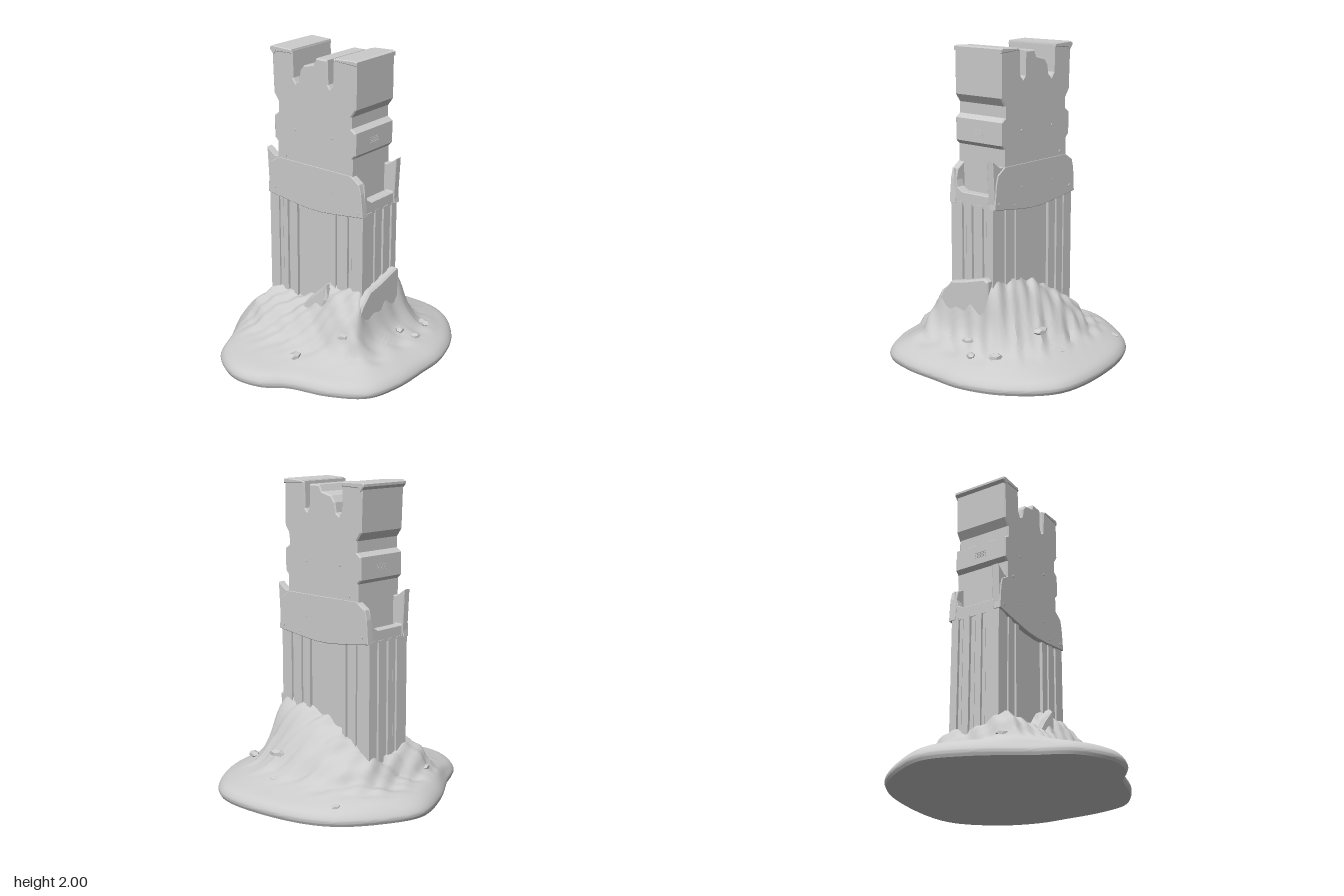
import * as THREE from 'three';
import { toCreasedNormals } from 'three/addons/utils/BufferGeometryUtils.js';

const stone = new THREE.MeshStandardMaterial({ color: 0xcccccc });
stone.name = 'pale grey stone';

const MID_Z = -0.05; // centre plane of the tower

function add(parent, name, geometry, x = 0, y = 0, z = 0) {
  const mesh = new THREE.Mesh(geometry, stone);
  mesh.name = name;
  mesh.position.set(x, y, z);
  parent.add(mesh);
  return mesh;
}

function box(parent, name, x0, x1, y0, y1, z0, z1) {
  return add(parent, name, new THREE.BoxGeometry(x1 - x0, y1 - y0, z1 - z0),
    (x0 + x1) / 2, (y0 + y1) / 2, (z0 + z1) / 2);
}

// Extruded outline that fills exactly 'depth', with softened edges
function slab(points, depth, bevel) {
  const shape = new THREE.Shape(points.map(([x, y]) => new THREE.Vector2(x, y)));
  const g = new THREE.ExtrudeGeometry(shape, {
    depth: depth - 2 * bevel, bevelEnabled: true, bevelThickness: bevel,
    bevelSize: bevel, bevelOffset: -bevel, bevelSegments: 1,
  });
  return g.translate(0, 0, bevel);
}

// Mound: each row is outer x,z | shoulder x,z,height | crest x,z,height
const SECTIONS = [
  [.74, -.05, .46, -.04, .24, .36, -.04, .53], [.73, .20, .46, .17, .23, .36, .10, .52],
  [.66, .42, .43, .26, .30, .36, .11, .55], [.45, .56, .30, .27, .36, .25, .11, .51],
  [.20, .64, .14, .27, .30, .13, .11, .52], [.05, .74, .00, .27, .29, .00, .11, .41],
  [-.15, .765, -.15, .27, .28, -.13, .11, .35], [-.38, .64, -.33, .26, .29, -.25, .11, .38],
  [-.50, .42, -.46, .22, .24, -.36, .11, .35], [-.66, .15, -.47, .05, .17, -.36, .03, .31],
  [-.75, -.14, -.48, -.10, .16, -.36, -.08, .29], [-.66, -.38, -.45, -.28, .18, -.36, -.19, .31],
  [-.46, -.63, -.28, -.38, .24, -.20, -.19, .41], [-.15, -.76, -.05, -.40, .30, .00, -.19, .51],
  [.38, -.77, .22, -.39, .31, .20, -.19, .57], [.63, -.54, .43, -.31, .30, .36, -.19, .58],
  [.735, -.27, .46, -.17, .25, .36, -.14, .57],
];

function moundGeometry() {
  const V = (x, y, z) => new THREE.Vector3(x, y, z);
  const loop = (f) => new THREE.CatmullRomCurve3(SECTIONS.map(f), true, 'centripetal');
  const out = (k, y) => (s) => V(s[0] * k, y, s[1] * k);
  const between = (t, y) => (s) =>
    V(s[2] + (s[0] - s[2]) * t, y(s[4]), s[3] + (s[1] - s[3]) * t);
  const loops = [
    out(0.985, 0), out(1, 0.03), out(0.965, 0.075),
    between(0.62, () => 0.12), between(0.28, (h) => 0.09 + h * 0.28),
    (s) => V(s[2], s[4], s[3]),
    (s) => V(s[2] * .4 + s[5] * .6, s[4] * .3 + s[7] * .7, s[3] * .4 + s[6] * .6),
    (s) => V(s[5], s[7], s[6]),
  ].map(loop);
  const N = 136, M = 28, pos = [], index = [];
  for (let i = 0; i < N; i++) {
    const rib = new THREE.CatmullRomCurve3(loops.map((c) => c.getPoint(i / N)), false, 'centripetal');
    for (let j = 0; j <= M; j++) {
      const p = rib.getPoint(j / M);
      // weathered lumps on the steep upper part
      const w = THREE.MathUtils.smoothstep(j / M, 0.4, 0.65) * 0.012;
      const n = Math.sin(p.x * 31 + p.y * 17) * Math.cos(p.z * 27 - p.y * 13) + 0.6 * Math.sin(p.x * 57 + p.z * 49);
      pos.push(p.x * (1 + w * n), Math.max(0, p.y + w * n), p.z * (1 + w * n));
      if (j < M) {
        const a = i * (M + 1) + j, b = ((i + 1) % N) * (M + 1) + j;
        index.push(a, a + 1, b, a + 1, b + 1, b);
      }
    }
  }
  // flat underside
  const c = pos.length / 3;
  pos.push(0, 0, 0);
  for (let i = 0; i < N; i++) index.push(c, i * (M + 1), ((i + 1) % N) * (M + 1));
  const g = new THREE.BufferGeometry();
  g.setAttribute('position', new THREE.Float32BufferAttribute(pos, 3));
  g.setIndex(index);
  return toCreasedNormals(g, 0.7);
}

function buildGround(root) {
  const ground = new THREE.Group();
  ground.name = 'ground';
  root.add(ground);
  add(ground, 'mound', moundGeometry());

  // Flat sheared rock face against the +x side
  const face = slab([[-.23, .22], [0, .26], [.2, .34], [.21, .58], [.18, .6], [0, .55],
    [-.1, .53], [-.17, .46], [-.22, .38]], 0.08, 0.012);
  face.rotateY(Math.PI / 2);
  add(ground, 'rockFace', face, 0.34, 0, 0);

  // Leaning blade of rock in front
  const blade = slab([[-.14, .22], [.02, .22], [.13, .34], [.15, .42], [.13, .52], [.02, .42]], 0.07, 0.02);
  add(ground, 'rockBlade', blade, 0, 0, 0.17).rotation.x = -0.08;

  // Loose stones
  const stones = [[.12, .14, -.55, .03], [-.42, .1, -.56, .025], [.52, .17, -.36, .035], [.56, .15, -.2, .03],
    [.5, .21, -.12, .03], [.2, .27, -.45, .04], [.12, .14, .48, .035], [-.1, .14, .42, .03],
    [.36, .28, .29, .035], [-.47, .17, .22, .03]];
  stones.forEach(([x, y, z, r], i) => {
    const s = add(ground, 'looseStone', new THREE.DodecahedronGeometry(r), x, y, z);
    s.scale.set(1.4, 0.6, 1);
    s.rotation.y = i * 1.3;
  });
}

function buildPier(root) {
  const pier = new THREE.Group();
  pier.name = 'flutedPier';
  root.add(pier);
  box(pier, 'pierCore', -.36, .36, .05, 1.04, -.2, .11);

  // Uneven upright flutes: [from, to, projection]
  const left = [[-.38, -.305, .02], [-.3, -.275, .014], [-.268, -.232, .02], [-.224, -.19, .012], [-.183, -.15, .02]];
  const right = [[.13, .165, .02], [.172, .2, .013], [.207, .26, .02], [.267, .29, .012], [.297, .38, .02]];
  for (const [a, b, d] of [...left, ...right]) {
    box(pier, 'frontFlute', a, b, .15, 1.04, .1, .11 + d);
    box(pier, 'backFlute', a, b, .15, 1.04, -.2 - d, -.19);
  }
  const side = [[-.22, -.17, .02], [-.162, -.14, .012], [-.132, -.085, .02], [-.078, -.05, .01],
    [-.042, .0, .018], [.008, .03, .012], [.037, .13, .02]];
  for (const [a, b, d] of side) {
    box(pier, 'sideFlute', .35, .36 + d, .2, 1.04, a, b);
    box(pier, 'sideFlute', -.36 - d, -.35, .2, 1.04, a, b);
  }
}

function buildTower(root) {
  const tower = new THREE.Group();
  tower.name = 'tower';
  root.add(tower);

  // Notched body with broken battlements
  const sideSteps = [[.3, 1.02], [.3, 1.39], [.325, 1.415], [.325, 1.555], [.29, 1.58], [.29, 1.65], [.325, 1.7]];
  const body = [
    ...sideSteps, [.325, 1.985], [.15, 1.985], [.145, 1.82], [.125, 1.8], [.11, 1.82], [.105, 1.97],
    [.02, 1.97], [0, 1.93], [-.08, 1.91], [-.11, 1.87], [-.12, 1.81], [-.145, 1.79], [-.165, 1.82],
    [-.17, 1.985], [-.335, 1.985], ...sideSteps.map(([x, y]) => [-x, y]).reverse(),
  ];
  add(tower, 'towerBody', slab(body, .38, .008), 0, 0, -.24);

  // Worn caps on the two outer merlons
  add(tower, 'leftCap', slab([[.16, 1.975], [.33, 1.965], [.33, 1.99], [.31, 1.997], [.17, 1.99]], .388, .005), 0, 0, -.244);
  add(tower, 'rightCap', slab([[-.35, 1.975], [-.32, 1.94], [-.3, 1.965], [-.17, 1.97], [-.175, 1.995], [-.33, 2], [-.35, 1.99]], .388, .005), 0, 0, -.244);

  // Skirt plates front and back, with a sagging lower edge
  const skirt = [[-.385, 1.03], [-.2, 1.005], [-.06, .99], [.06, .99], [.2, 1.005], [.385, 1.03],
    [.37, 1.18], [.355, 1.24], [.29, 1.285], [-.29, 1.285], [-.36, 1.24], [-.375, 1.18]];
  add(tower, 'frontSkirt', slab(skirt, .05, .004), 0, 0, .092);
  add(tower, 'backSkirt', slab(skirt, .05, .004), 0, 0, -.242);
  box(tower, 'sideLedge', -.375, .375, 1.025, 1.1, -.22, .12);

  for (const s of [1, -1]) {
    const end = new THREE.Group();
    end.name = s > 0 ? 'leftEnd' : 'rightEnd';
    end.position.z = MID_Z;
    end.rotation.y = s > 0 ? 0 : Math.PI;
    tower.add(end);
    // Tall corner fin
    add(end, 'cornerFin', slab([[.3, 1.03], [.38, 1.03], [.395, 1.33], [.33, 1.285], [.3, 1.285]], .05, .004), 0, 0, -.185);
    // Sloped fillets inside the open pocket
    const fillet = slab([[-.16, 1.08], [.16, 1.08], [.16, 1.16], [.13, 1.105], [-.09, 1.105], [-.13, 1.13], [-.16, 1.24]], .06, .004);
    fillet.rotateY(Math.PI / 2);
    add(end, 'pocketRim', fillet, .315, 0, 0);
    // Vent slits
    for (let i = 0; i < 4; i++) box(end, 'ventSlit', .32, .328, 1.462 + i * .011, 1.467 + i * .011, -.04, .04);
  }

  // Bolt heads on both broad faces
  const bolts = [[-.15, 1.49, .008], [.14, 1.49, .008], [-.15, 1.14, .005], [.14, 1.14, .005],
    [-.335, 1.07, .012], [.345, 1.06, .012], [.2, 1.035, .005], [-.23, 1.31, .01]];
  for (const [x, y, r] of bolts) {
    for (const z of [.142, -.242]) {
      add(tower, 'bolt', new THREE.CylinderGeometry(r, r, .008, 10).rotateX(Math.PI / 2), x, y, z);
    }
  }
}

export function createModel() {
  const root = new THREE.Group();
  root.name = 'ruinedTower';
  buildGround(root);
  buildPier(root);
  buildTower(root);
  return root;
}
